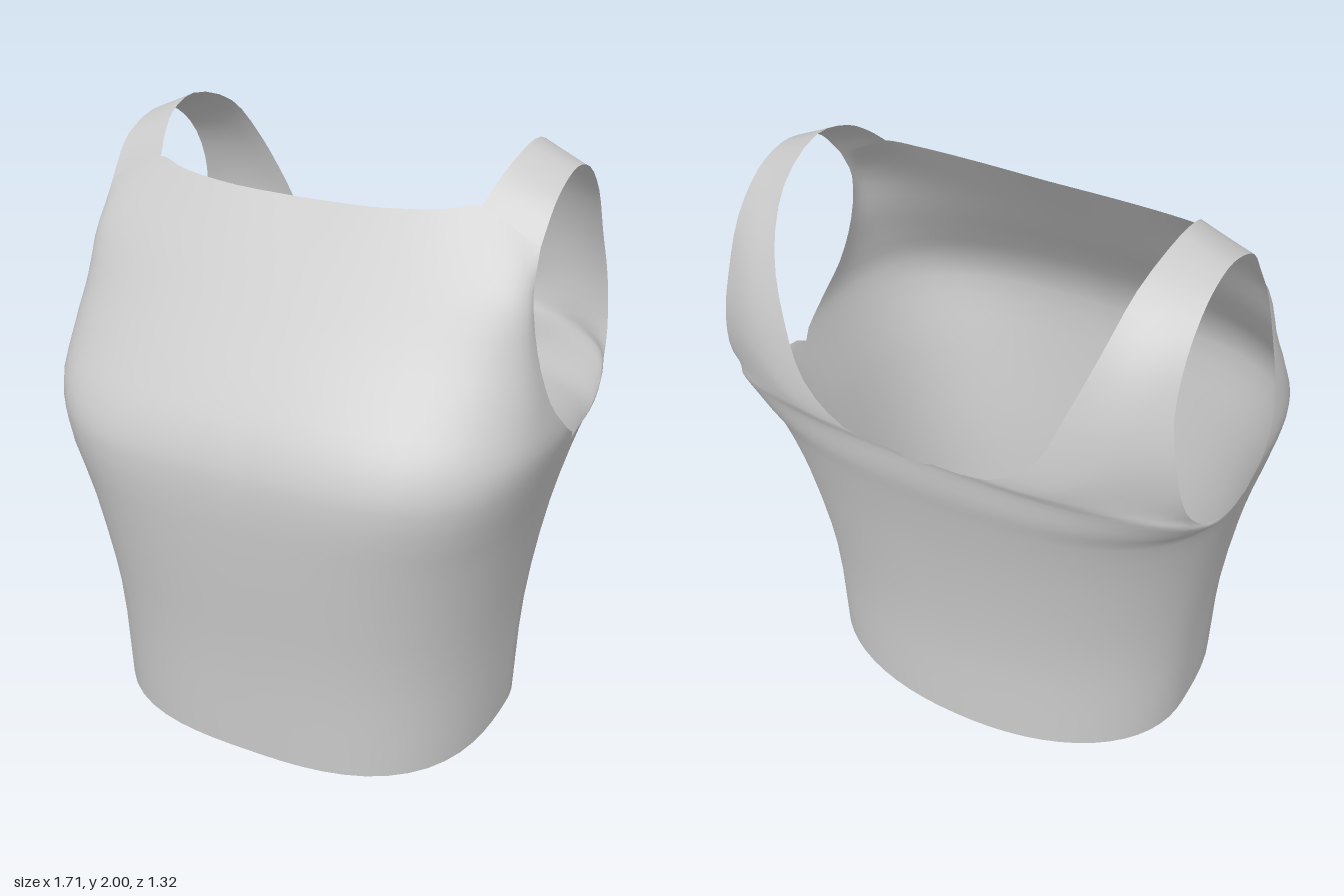
import * as THREE from 'three';
import { mergeVertices } from 'three/addons/utils/BufferGeometryUtils.js';

const U_STEPS = 16; // samples across each row
const V_STEPS = 3;  // samples between neighbouring rows

// Rounded quarter section from the body's centre line (y0, z0) to a side point (x1, y1, z1)
const section = ([y0, z0, x1, y1, z1, n]) => (u) => {
  const s = Math.sin(u * Math.PI / 2), c = Math.max(0, Math.cos(u * Math.PI / 2));
  const r = (s ** n + c ** n) ** (-1 / n);
  return new THREE.Vector3(x1 * r * s, y0 + (y1 - y0) * u * u, z1 + (z0 - z1) * r * c);
};

// Slightly bulged row across the strap, from neck edge to armhole edge
const strap = ([xa, ya, za, xb, yb, zb, bulge]) => (u) => {
  const k = bulge * Math.sin(Math.PI * u);
  const p = new THREE.Vector3(xa, ya, za).lerp(new THREE.Vector3(xb, yb, zb), u);
  return p.add(new THREE.Vector3(k / 2, 0, -k));
};

// Front neckline, rising to the corner where the strap begins
const neckCurve = new THREE.CatmullRomCurve3([
  [0, 1.83, .155], [.25, 1.835, .15], [.45, 1.85, .12], [.56, 1.865, .08], [.655, 1.82, .085], [.75, 1.77, .085],
].map((p) => new THREE.Vector3(...p)));

// Front half: hem to neckline; columns are y0, z0, x1, y1, z1, squareness
const frontRows = [
  ...[
    [0, .585, .69, 0, -.06, 2.8],
    [.4, .605, .71, .4, -.06, 2.8],
    [.8, .645, .77, .8, -.06, 3],
    [1.07, .655, .84, 1.085, -.09, 3.4],
    [1.2, .615, .853, 1.175, .02, 3.1],
    [1.32, .54, .83, 1.3, .13, 2.6],
    [1.48, .42, .79, 1.47, .165, 2.3],
    [1.66, .285, .76, 1.65, .15, 2.2],
  ].map(section),
  (u) => neckCurve.getPoint(u),
];

// Back half: hem to the low scooped neck, then over the shoulder to the front
const backRows = [
  ...[
    [0, -.51, .69, 0, -.06, 2.15],
    [.4, -.515, .71, .4, -.06, 2.2],
    [.8, -.565, .77, .8, -.06, 2.4],
    [1.06, -.62, .84, 1.085, -.09, 2.5],
    [1.17, -.648, .85, 1.125, -.24, 2.4],
    [1.27, -.66, .83, 1.19, -.4, 2.2],
  ].map(section),
  ...[
    [.25, 1.31, -.665, .81, 1.3, -.5, .04],
    [.4, 1.42, -.65, .785, 1.47, -.535, .025],
    [.48, 1.6, -.615, .76, 1.63, -.52, .02],
    [.545, 1.78, -.545, .755, 1.79, -.45, .01],
    [.585, 1.93, -.42, .755, 1.9, -.33, 0],
    [.61, 2, -.21, .755, 1.935, -.2, 0],
    [.6, 1.97, -.06, .755, 1.915, -.09, 0],
    [.58, 1.92, .02, .755, 1.87, 0, 0],
    [.56, 1.865, .08, .75, 1.77, .085, 0],
  ].map(strap),
];

// Smooth grid through the rows, appended for one side of the body
function addPanel(positions, indices, rows, side, facesBack) {
  const vCount = (rows.length - 1) * V_STEPS;
  const base = positions.length / 3;
  for (let i = 0; i <= U_STEPS; i++) {
    const column = new THREE.CatmullRomCurve3(rows.map((row) => row(i / U_STEPS)));
    for (let j = 0; j <= vCount; j++) {
      const p = column.getPoint(j / vCount);
      positions.push(side * Math.max(0, p.x), p.y, p.z);
    }
  }
  const flip = (side < 0) !== facesBack;
  for (let i = 0; i < U_STEPS; i++) {
    for (let j = 0; j < vCount; j++) {
      const a = base + i * (vCount + 1) + j, b = a + vCount + 1;
      if (flip) indices.push(a, b + 1, b, a, a + 1, b + 1);
      else indices.push(a, b, b + 1, a, b + 1, a + 1);
    }
  }
}

export function createModel() {
  const positions = [], indices = [];
  for (const side of [1, -1]) {
    addPanel(positions, indices, frontRows, side, false);
    addPanel(positions, indices, backRows, side, true);
  }

  // Weld the seams so shading runs smoothly around the body
  let geometry = new THREE.BufferGeometry();
  geometry.setAttribute('position', new THREE.Float32BufferAttribute(positions, 3));
  geometry.setIndex(indices);
  geometry = mergeVertices(geometry, 1e-3);
  geometry.computeVertexNormals();

  const garment = new THREE.Mesh(
    geometry,
    new THREE.MeshStandardMaterial({ color: 0xcccccc, side: THREE.DoubleSide })
  );
  garment.name = 'sleevelessTop';

  const group = new THREE.Group();
  group.name = 'garment';
  group.add(garment);
  return group;
}
